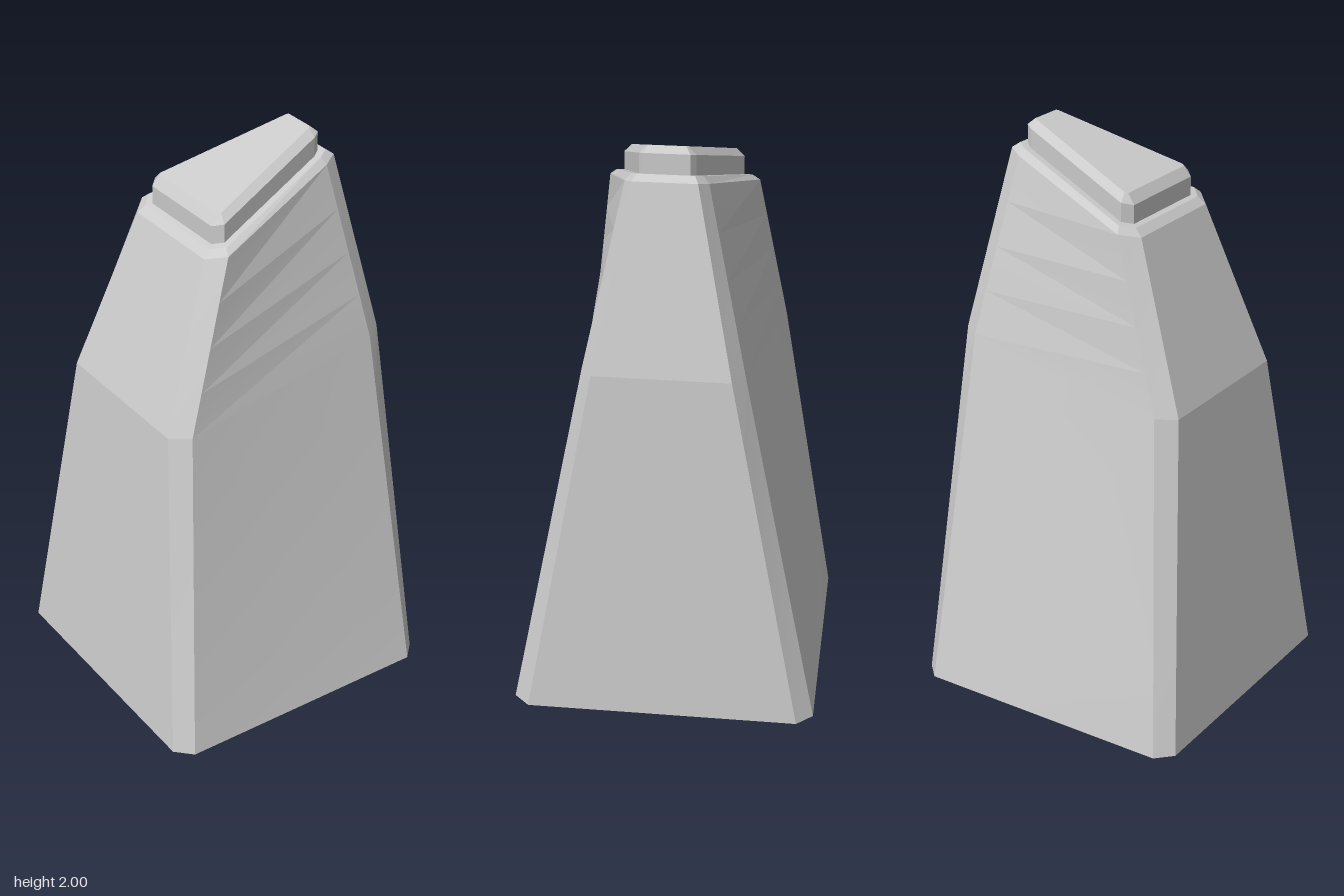
import * as THREE from 'three';
import { toCreasedNormals } from 'three/addons/utils/BufferGeometryUtils.js';

// Eight-sided chamfered section on a sloping plane; half = [x, z] from the +x end to the -x end
function ring(half, yLeft, yRight) {
  const xr = half[0][0], xl = half[3][0];
  const y = (x) => yLeft + ((x - xl) / (xr - xl)) * (yRight - yLeft);
  const back = half.map(([x, z]) => new THREE.Vector3(x, y(x), -z));
  const front = [...half].reverse().map(([x, z]) => new THREE.Vector3(x, y(x), z));
  return [...back, ...front];
}

// Skin a stack of rings, each span cut into steps, with optional end caps
function loft(rings, steps, capBottom, capTop, crease) {
  const levels = [rings[0]];
  for (let r = 1; r < rings.length; r++)
    for (let s = 1; s <= steps[r - 1]; s++)
      levels.push(rings[r].map((p, i) => rings[r - 1][i].clone().lerp(p, s / steps[r - 1])));

  const pos = [];
  const tri = (...pts) => pts.forEach((p) => pos.push(p.x, p.y, p.z));
  for (let l = 1; l < levels.length; l++) {
    const lo = levels[l - 1], hi = levels[l];
    for (let i = 0; i < 8; i++) {
      const j = (i + 1) % 8;
      tri(lo[i], lo[j], hi[j]);
      tri(lo[i], hi[j], hi[i]);
    }
  }
  const cap = (pts, up) => {
    const c = pts.reduce((a, p) => a.add(p), new THREE.Vector3()).divideScalar(8);
    for (let i = 0; i < 8; i++) {
      const a = pts[i], b = pts[(i + 1) % 8];
      if (up) tri(c, a, b); else tri(c, b, a);
    }
  };
  if (capBottom) cap(levels[0], false);
  if (capTop) cap(levels[levels.length - 1], true);

  const geo = new THREE.BufferGeometry();
  geo.setAttribute('position', new THREE.Float32BufferAttribute(pos, 3));
  return toCreasedNormals(geo, crease);
}

export function createModel() {
  const group = new THREE.Group();
  const material = new THREE.MeshStandardMaterial({ color: 0xcccccc });
  const add = (name, geo) => {
    const mesh = new THREE.Mesh(geo, material);
    mesh.name = name;
    group.add(mesh);
  };

  // Tapering body: square foot, bent waist, wedge-shaped sloping shoulder with a small bevel
  const foot = ring([[0.525, 0.47], [0.47, 0.525], [-0.47, 0.525], [-0.525, 0.47]], 0, 0);
  const waist = ring([[0.49, 0.23], [0.43, 0.27], [-0.35, 0.345], [-0.41, 0.29]], 1.16, 1.27);
  const shoulder = ring([[0.375, 0.105], [0.325, 0.135], [-0.15, 0.257], [-0.205, 0.2]], 1.72, 1.9);
  const rim = ring([[0.35, 0.093], [0.315, 0.115], [-0.14, 0.232], [-0.178, 0.19]], 1.745, 1.918);
  add('body', loft([foot, waist, shoulder, rim], [5, 4, 1], true, true, 0.1));

  // Sloping cap block with bevelled top edges, sunk slightly into the shoulder
  const wall = [[0.33, 0.075], [0.305, 0.092], [-0.13, 0.205], [-0.16, 0.175]];
  const plate = [[0.308, 0.06], [0.3, 0.065], [-0.125, 0.178], [-0.135, 0.17]];
  add('cap', loft(
    [ring(wall, 1.73, 1.9), ring(wall, 1.815, 1.98), ring(plate, 1.85, 2)],
    [1, 1], false, true, 0.1));

  return group;
}
